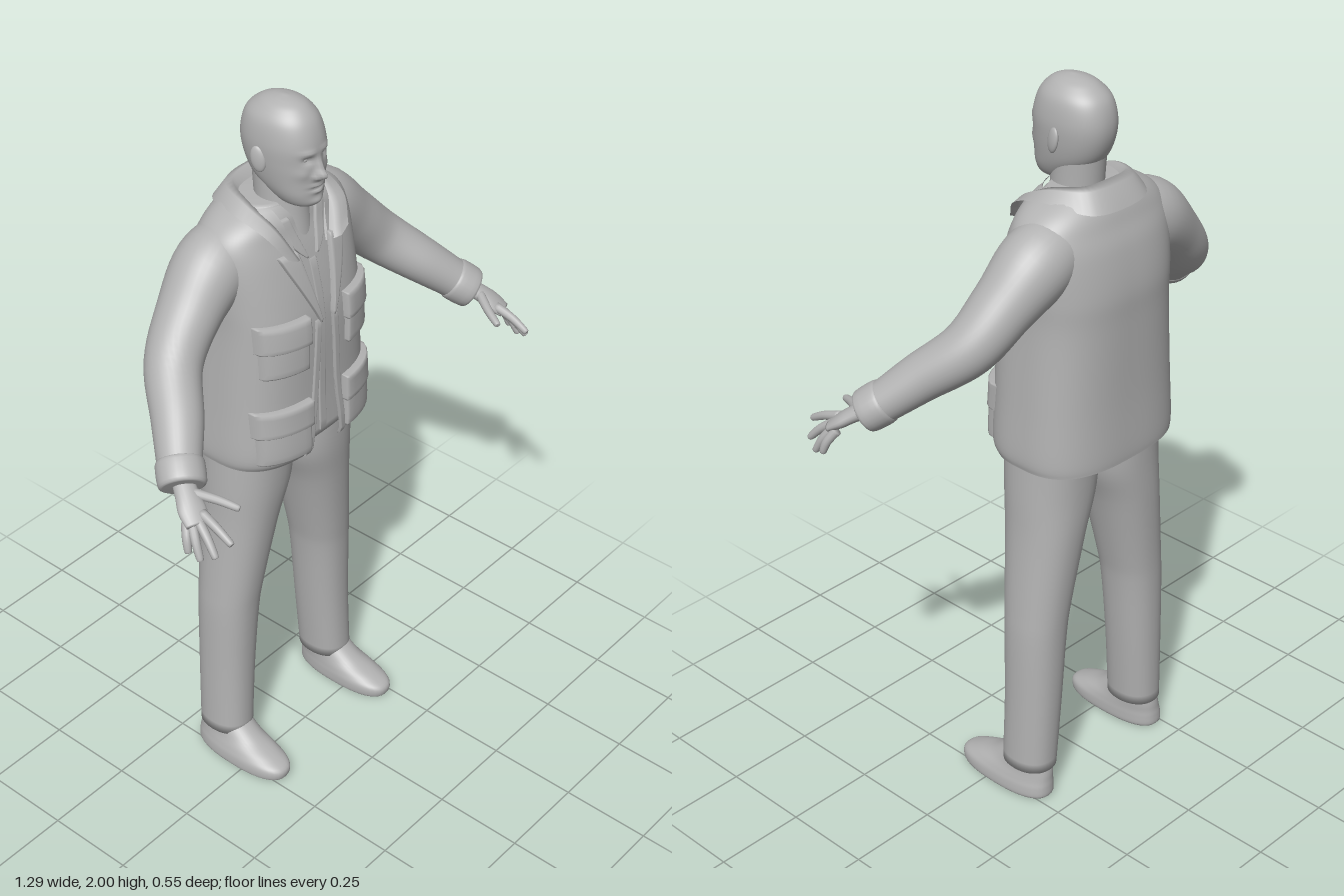
import * as THREE from 'three';

const clay = new THREE.MeshStandardMaterial({ color: 0xb2b2b2, side: THREE.DoubleSide });
clay.name = 'clay grey';
const V = (x, y, z) => new THREE.Vector3(x, y, z);

// Smooth mesh from rows of points; each row may close on itself
function skin(name, rows, closed) {
  const n = rows[0].length, pos = [], idx = [];
  rows.forEach(r => r.forEach(p => pos.push(p.x, p.y, p.z)));
  for (let i = 0; i < rows.length - 1; i++)
    for (let j = 0; j < (closed ? n : n - 1); j++) {
      const a = i * n + j, b = i * n + (j + 1) % n;
      idx.push(a, b, a + n, b, b + n, a + n);
    }
  const g = new THREE.BufferGeometry();
  g.setAttribute('position', new THREE.Float32BufferAttribute(pos, 3));
  g.setIndex(idx);
  g.computeVertexNormals();
  const m = new THREE.Mesh(g, clay);
  m.name = name;
  return m;
}

// Catmull-Rom sample of a table of sections
function sample(rows, t) {
  const i = Math.min(Math.floor(t), rows.length - 2), f = t - i;
  const at = k => rows[Math.max(0, Math.min(rows.length - 1, k))];
  return at(i).map((b, c) => {
    const a = at(i - 1)[c], d = at(i + 1)[c], e = at(i + 2)[c];
    return b + 0.5 * f * (d - a + f * (2 * a - 5 * b + 4 * d - e + f * (3 * (b - d) + e - a)));
  });
}
const refine = (rows, k) =>
  Array.from({ length: (rows.length - 1) * k + 1 }, (_, i) => sample(rows, i / k));
const capped = rings => {
  const dot = r => {
    const c = r.reduce((s, p) => s.add(p), V(0, 0, 0)).divideScalar(r.length);
    return r.map(() => c.clone());
  };
  return [dot(rings[0]), ...rings, dot(rings[rings.length - 1])];
};
const spow = (v, e) => Math.sign(v) * Math.abs(v) ** e;

// Horizontal section [y, cx, cz, rx, rz, roundness], with an optional front gap
function section([y, cx, cz, rx, rz, n], count, gap) {
  const a0 = gap ? Math.asin((gap / rx) ** (n / 2)) : 0;
  return Array.from({ length: count }, (_, j) => {
    const a = a0 + (2 * Math.PI - 2 * a0) * j / (gap ? count - 1 : count);
    return V(cx + rx * spow(Math.sin(a), 2 / n), y, cz + rz * spow(Math.cos(a), 2 / n));
  });
}
const column = (name, rows, count = 40, k = 5) =>
  skin(name, capped(refine(rows, k).map(r => section(r, count))), true);

// Limb through [x, y, z, horizontal radius, vertical radius]
function limb(name, s, rows, count = 28, k = 6) {
  const pts = refine(rows, k);
  const c = pts.map(p => V(p[0] * s, p[1], p[2]));
  return skin(name, capped(pts.map((p, i) => {
    const t = c[Math.min(i + 1, c.length - 1)].clone().sub(c[Math.max(i - 1, 0)]).normalize();
    const u = V(0, 1, 0).cross(t).normalize(), v = t.clone().cross(u);
    return Array.from({ length: count }, (_, j) => {
      const a = 2 * Math.PI * j / count;
      return c[i].clone().addScaledVector(u, p[3] * Math.cos(a)).addScaledVector(v, p[4] * Math.sin(a));
    });
  })), true);
}

const TORSO = [
  [1.02, 0, -0.107, 0.238, 0.166, 2.8], [1.06, 0, -0.1, 0.243, 0.174, 2.8],
  [1.2, 0, -0.1, 0.235, 0.17, 2.8], [1.4, 0, -0.1, 0.225, 0.17, 2.7],
  [1.5, 0, -0.107, 0.228, 0.163, 2.6], [1.6, 0, -0.112, 0.232, 0.142, 2.5],
  [1.66, 0, -0.112, 0.222, 0.122, 2.4], [1.7, 0, -0.11, 0.185, 0.11, 2.3],
  [1.735, 0, -0.11, 0.12, 0.09, 2.2],
];
// Depth of the jacket front at x, y
function frontZ(x, y) {
  let lo = 0, hi = TORSO.length - 1;
  for (let i = 0; i < 30; i++) {
    const m = (lo + hi) / 2;
    if (sample(TORSO, m)[0] < y) lo = m; else hi = m;
  }
  const [, , cz, rx, rz, n] = sample(TORSO, lo);
  return cz + rz * Math.max(0, 1 - Math.min(1, Math.abs(x) / rx) ** n) ** (1 / n);
}
const ramp = pts => y => {
  const i = Math.max(1, Math.min(pts.length - 1, pts.findIndex(p => p[0] >= y)));
  const [a, b] = [pts[i - 1], pts[i]];
  return a[1] + (b[1] - a[1]) * THREE.MathUtils.clamp((y - a[0]) / (b[0] - a[0]), 0, 1);
};
const gap = ramp([[1.02, 0.06], [1.2, 0.035], [1.43, 0.022], [1.6, 0.055], [1.735, 0.085]]);

// Raised cloth panel that follows the torso front
const STEPS = [0, 0.01, 0.06, 0.2, 0.35, 0.5, 0.65, 0.8, 0.94, 0.99, 1];
function panel(name, s, y0, y1, inner, outer, depth, base = 0) {
  return skin(name, STEPS.map((v, i) => STEPS.map((u, j) => {
    const y = y0 + (y1 - y0) * v, x = inner(y) + (outer(y) - inner(y)) * u;
    const edge = Math.min(i, j, 10 - i, 10 - j);
    return V(s * x, y, frontZ(x, y) + base + (edge === 0 ? -0.003 : edge === 1 ? depth * 0.8 : depth));
  })), false);
}

// Face relief [x, y, width, height, depth]
const RELIEF = [
  [0, 1.822, 0.013, 0.014, 0.026], [0, 1.845, 0.009, 0.018, 0.013],
  [0.03, 1.866, 0.013, 0.009, -0.01], [0.03, 1.885, 0.02, 0.007, 0.005],
  [0.017, 1.817, 0.006, 0.006, 0.007], [0, 1.793, 0.02, 0.005, 0.007],
  [0, 1.785, 0.022, 0.003, -0.006], [0, 1.776, 0.016, 0.005, 0.006],
  [0.045, 1.83, 0.015, 0.014, 0.004], [0, 1.748, 0.02, 0.01, 0.006],
];
function head() {
  const rows = [
    [1.728, 0, -0.01, 0.028, 0.035, 2], [1.74, 0, -0.022, 0.047, 0.06, 2.1],
    [1.765, 0, -0.035, 0.062, 0.077, 2.2], [1.8, 0, -0.055, 0.073, 0.098, 2.2],
    [1.85, 0, -0.066, 0.081, 0.11, 2.2], [1.9, 0, -0.069, 0.083, 0.112, 2.2],
    [1.95, 0, -0.07, 0.074, 0.098, 2.1], [1.98, 0, -0.067, 0.052, 0.07, 2],
    [1.994, 0, -0.065, 0.028, 0.04, 2], [2, 0, -0.063, 0.004, 0.006, 2],
  ];
  const rings = refine(rows, 8).map(r => section(r, 96));
  rings.flat().forEach(p => {
    if (p.z < -0.03) return;
    for (const [x, y, w, h, d] of RELIEF)
      p.z += d * Math.exp(-(((Math.abs(p.x) - x) / w) ** 2) - ((p.y - y) / h) ** 2);
  });
  return skin('head', capped(rings), true);
}

function collar() {
  const half = [
    [[0, 1.715, -0.16], [0.065, 1.715, -0.145], [0.09, 1.7, -0.085], [0.08, 1.66, -0.02], [0.055, 1.6, 0.02]],
    [[0, 1.765, -0.185], [0.075, 1.76, -0.168], [0.108, 1.745, -0.09], [0.1, 1.695, -0.005], [0.068, 1.61, 0.042]],
    [[0, 1.755, -0.205], [0.085, 1.752, -0.185], [0.122, 1.742, -0.09], [0.114, 1.695, 0.005], [0.082, 1.615, 0.05]],
    [[0, 1.7, -0.235], [0.1, 1.705, -0.215], [0.152, 1.722, -0.1], [0.145, 1.69, 0.0], [0.112, 1.63, 0.045]],
  ];
  return skin('jacketCollar', half.map(h => {
    const left = h.slice(1).reverse().map(([x, y, z]) => V(-x, y, z));
    return new THREE.CatmullRomCurve3([...left, ...h.map(p => V(...p))]).getPoints(48);
  }), false);
}

function ball(name, x, y, z, sx, sy, sz) {
  const m = new THREE.Mesh(new THREE.SphereGeometry(1, 20, 14), clay);
  m.name = name;
  m.position.set(x, y, z);
  m.scale.set(sx, sy, sz);
  return m;
}

export function createModel() {
  const man = new THREE.Group();
  man.name = 'standingMan';

  // Head and neck
  man.add(head(), column('neck', [
    [1.6, 0, -0.07, 0.075, 0.08, 2], [1.7, 0, -0.075, 0.066, 0.07, 2], [1.82, 0, -0.085, 0.064, 0.07, 2]]));

  // Open jacket over a shirt
  man.add(skin('jacket', refine(TORSO, 6).map(r => section(r, 80, gap(r[0]))), false));
  const shirtRows = TORSO.slice(1).map(([y, cx, cz, rx, rz, n]) => [y, cx, cz, rx - 0.014, rz - 0.014, n]);
  man.add(column('shirt', shirtRows, 64), collar());
  man.add(panel('shirtPlacket', 1, 1.07, 1.58, () => -0.012, () => 0.012, 0.004, -0.014));

  for (const s of [1, -1]) {
    const side = new THREE.Group();
    side.name = s > 0 ? 'leftSide' : 'rightSide';
    man.add(side);

    // Ear and eye
    const ear = ball('ear', s * 0.085, 1.855, -0.075, 0.009, 0.034, 0.02);
    ear.rotation.set(-0.2, s * -0.3, 0);
    side.add(ear, ball('eye', s * 0.03, 1.866, 0.022, 0.012, 0.007, 0.009));

    // Lapels, front edge and pockets with flaps
    const lapelWidth = ramp([[1.42, 0.004], [1.6, 0.055], [1.635, 0.06]]);
    side.add(panel('lapel', s, 1.42, 1.625, gap, y => gap(y) + lapelWidth(y), 0.012));
    side.add(panel('shirtCollar', s, 1.585, 1.7, ramp([[1.585, 0.015], [1.7, 0.05]]),
      ramp([[1.585, 0.02], [1.62, 0.055], [1.7, 0.08]]), 0.006, -0.012));
    side.add(panel('frontEdge', s, 1.025, 1.43, gap, y => gap(y) + 0.018, 0.006));
    for (const [y0, y1, x0, x1] of [[1.31, 1.41, 0.075, 0.195], [1.05, 1.16, 0.07, 0.21]]) {
      side.add(panel('pocket', s, y0, y1, () => x0, () => x1, 0.017));
      side.add(panel('pocketFlap', s, y1 - 0.025, y1 + 0.05, () => x0 - 0.006, () => x1 + 0.006,
        0.024));
    }

    // Sleeve and cuff
    side.add(limb('sleeve', s, [
      [0.1, 1.625, -0.125, 0.085, 0.08], [0.2, 1.585, -0.128, 0.097, 0.098], [0.3, 1.505, -0.115, 0.083, 0.08],
      [0.39, 1.415, -0.085, 0.073, 0.071], [0.47, 1.335, 0, 0.065, 0.061], [0.53, 1.275, 0.06, 0.056, 0.053],
      [0.56, 1.245, 0.095, 0.052, 0.049]], 36));
    side.add(limb('cuff', s, [
      [0.53, 1.275, 0.06, 0.055, 0.052], [0.536, 1.269, 0.067, 0.061, 0.057],
      [0.562, 1.243, 0.098, 0.06, 0.055], [0.567, 1.238, 0.104, 0.05, 0.045]], 28, 3));

    // Hand
    side.add(limb('palm', s, [
      [0.55, 1.255, 0.085, 0.028, 0.022], [0.575, 1.23, 0.125, 0.03, 0.02],
      [0.59, 1.208, 0.155, 0.036, 0.018], [0.603, 1.186, 0.185, 0.03, 0.012]], 20));
    const fingers = [
      ['thumb', [0.565, 1.235, 0.13], [0.532, 1.22, 0.185], [0.512, 1.207, 0.23]],
      ['indexFinger', [0.58, 1.205, 0.175], [0.584, 1.188, 0.228], [0.585, 1.165, 0.272]],
      ['middleFinger', [0.594, 1.195, 0.175], [0.607, 1.165, 0.218], [0.616, 1.132, 0.25]],
      ['ringFinger', [0.606, 1.187, 0.168], [0.623, 1.152, 0.195], [0.631, 1.115, 0.215]],
      ['littleFinger', [0.612, 1.185, 0.155], [0.63, 1.155, 0.172], [0.637, 1.125, 0.182]],
    ];
    for (const [name, a, b, c] of fingers) {
      const tip = c.map((v, i) => v + (v - b[i]) * 0.08);
      side.add(limb(name, s, [[...a, 0.013, 0.013], [...b, 0.0115, 0.0115], [...c, 0.009, 0.009],
        [...tip, 0.003, 0.003]], 12, 4));
    }

    // Trouser leg and shoe
    side.add(column('trouserLeg', [
      [0.09, s * 0.2125, -0.108, 0.063, 0.077, 2.2], [0.3, s * 0.201, -0.112, 0.069, 0.079, 2.2],
      [0.5, s * 0.19, -0.111, 0.076, 0.084, 2.2], [0.6, s * 0.178, -0.109, 0.081, 0.09, 2.2],
      [0.8, s * 0.145, -0.105, 0.097, 0.106, 2.2], [0.93, s * 0.12, -0.1, 0.117, 0.115, 2.2],
      [1.08, s * 0.113, -0.1, 0.117, 0.12, 2.2]]));
    side.add(column('shoe', [
      [0, s * 0.222, -0.035, 0.053, 0.142, 2.4], [0.01, s * 0.222, -0.035, 0.062, 0.154, 2.4],
      [0.035, s * 0.221, -0.036, 0.062, 0.153, 2.4], [0.055, s * 0.219, -0.055, 0.058, 0.132, 2.3],
      [0.08, s * 0.216, -0.085, 0.053, 0.1, 2.2], [0.12, s * 0.213, -0.11, 0.05, 0.068, 2]]));
  }
  return man;
}
